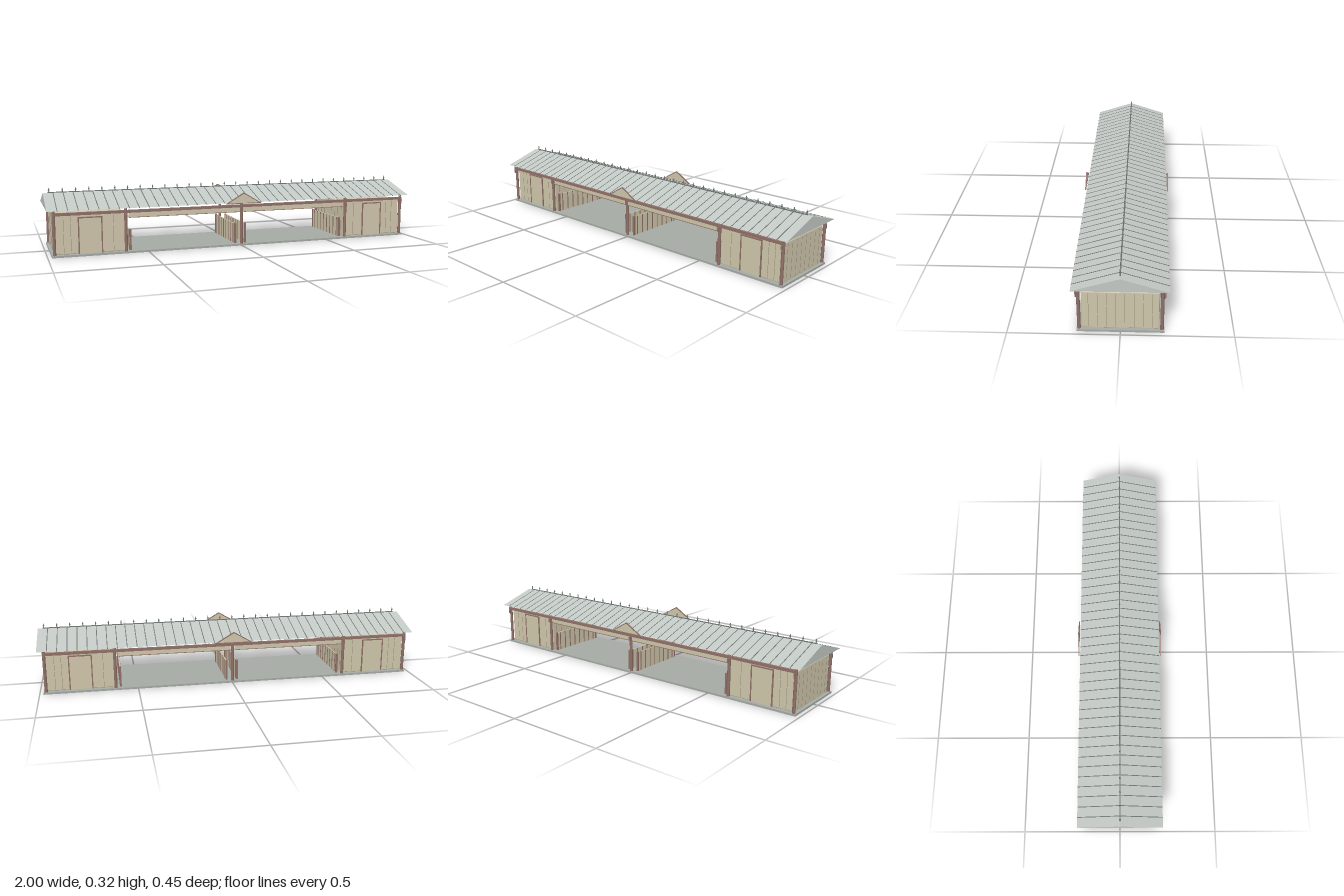
import * as THREE from 'three';
import { RoundedBoxGeometry } from 'three/addons/geometries/RoundedBoxGeometry.js';

const mat = (color, extra = {}) => new THREE.MeshStandardMaterial({ color, ...extra });
const M = {
  wall: mat(0xcfc6ab), seam: mat(0x9a917c), wood: mat(0x8f7068),
  roof: mat(0xc2c8c4, { flatShading: true }), metal: mat(0x6f7675), floor: mat(0xa5aaa4),
};

function add(parent, name, geometry, material, x = 0, y = 0, z = 0) {
  const mesh = new THREE.Mesh(geometry, material);
  mesh.name = name;
  mesh.position.set(x, y, z);
  parent.add(mesh);
  return mesh;
}
const box = (parent, name, material, w, h, d, x, y, z) =>
  add(parent, name, new THREE.BoxGeometry(w, h, d), material, x, y, z);

function triangle(halfWidth, y0, y1) {
  return new THREE.Shape([
    new THREE.Vector2(-halfWidth, y0), new THREE.Vector2(halfWidth, y0), new THREE.Vector2(0, y1),
  ]);
}
const extrude = (shape, depth) =>
  new THREE.ExtrudeGeometry(shape, { depth, bevelEnabled: false }).translate(0, 0, -depth / 2);

// Roof prism with standing seams, ridge cap and a row of finials
function buildRoof() {
  const roof = new THREE.Group();
  roof.name = 'roof';
  const half = 0.213, eave = 0.232, ridge = 0.299;
  add(roof, 'roofBody', extrude(triangle(half, eave, ridge), 2).rotateY(Math.PI / 2), M.roof);
  const slope = Math.atan2(ridge - eave, half), length = Math.hypot(ridge - eave, half);
  for (const s of [-1, 1]) {
    for (let i = -19; i <= 19; i++) {
      const rib = box(roof, 'roofSeam', M.metal, 0.004, 0.002, length, i * 0.05, (eave + ridge) / 2, s * half / 2);
      rib.rotation.x = s * slope;
    }
  }
  box(roof, 'ridgeCap', M.metal, 1.95, 0.004, 0.006, 0, 0.3, 0);
  const finial = new THREE.LatheGeometry([
    [0.0015, 0.3], [0.003, 0.304], [0.0015, 0.307], [0.0045, 0.311], [0, 0.325],
  ].map(([r, y]) => new THREE.Vector2(r, y)), 8);
  for (let i = 0; i < 30; i++) add(roof, 'finial', finial, M.metal, -0.97 + i * 1.94 / 29);
  return roof;
}

// Closed room at one end, with battens and a framed door front and back
function buildRoom(side) {
  const room = new THREE.Group();
  room.name = side > 0 ? 'leftRoom' : 'rightRoom';
  const cx = side * 0.79, w = 0.35;
  add(room, 'roomWalls', new RoundedBoxGeometry(w, 0.195, 0.34, 2, 0.004), M.wall, cx, 0.1075, 0);
  for (let i = 0; i < 8; i++) {
    for (const e of [-1, 1]) {
      box(room, 'endSeam', M.seam, 0.001, 0.18, 0.002, cx + e * w / 2, 0.107, -0.14 + i * 0.04);
    }
  }
  for (const s of [-1, 1]) {
    for (const dx of [-0.115, -0.03, 0.03, 0.095, 0.13]) {
      box(room, 'wallSeam', M.seam, 0.002, 0.18, 0.001, cx + side * dx, 0.107, s * 0.17);
    }
    box(room, 'door', M.wall, 0.11, 0.178, 0.006, cx, 0.1, s * 0.17);
    for (const e of [-1, 1]) box(room, 'doorJamb', M.wood, 0.006, 0.18, 0.01, cx + e * 0.057, 0.1, s * 0.17);
    box(room, 'doorLintel', M.wood, 0.12, 0.006, 0.01, cx, 0.19, s * 0.17);
  }
  return room;
}

// Low board partition across the open bays
function buildPartition(x) {
  const group = new THREE.Group();
  group.name = 'partition';
  box(group, 'partitionPanel', M.wall, 0.006, 0.105, 0.33, x, 0.0625, 0);
  for (let i = 0; i < 8; i++) box(group, 'partitionBatten', M.wood, 0.009, 0.105, 0.006, x, 0.0625, -0.14 + i * 0.04);
  for (const s of [-1, 1]) box(group, 'partitionPost', M.wood, 0.01, 0.107, 0.01, x, 0.0635, s * 0.163);
  return group;
}

// Posts, beams, hanging fascia and small pediment along one long side
function buildFacade(s) {
  const group = new THREE.Group();
  group.name = s > 0 ? 'frontFacade' : 'backFacade';
  const post = new THREE.CylinderGeometry(0.008, 0.008, 0.218, 12);
  for (const x of [-0.967, -0.615, 0, 0.615, 0.967]) {
    add(group, 'post', post, M.wood, x, 0.119, s * 0.183);
    box(group, 'postBracket', M.wood, 0.01, 0.022, 0.006, x, 0.193, s * 0.194);
  }
  box(group, 'eaveBeam', M.wood, 1.94, 0.014, 0.012, 0, 0.213, s * 0.192);
  for (const e of [-1, 1]) {
    box(group, 'fascia', M.wall, 0.59, 0.025, 0.005, e * 0.305, 0.194, s * 0.185);
    box(group, 'fasciaTrim', M.wood, 0.59, 0.003, 0.008, e * 0.305, 0.181, s * 0.185);
  }
  add(group, 'pedimentPanel', extrude(triangle(0.094, 0.23, 0.284), 0.003), M.wall, 0, 0, s * 0.219);
  const frame = triangle(0.1, 0.228, 0.287);
  frame.holes.push(triangle(0.086, 0.232, 0.281));
  add(group, 'pedimentFrame', extrude(frame, 0.006), M.wood, 0, 0, s * 0.22);
  return group;
}

export function createModel() {
  const model = new THREE.Group();
  model.name = 'longPavilion';
  box(model, 'floor', M.floor, 1.96, 0.01, 0.387, 0, 0.005, 0);
  model.add(buildRoof());
  for (const s of [-1, 1]) {
    model.add(buildRoom(s), buildFacade(s));
    model.add(buildPartition(s * 0.59), buildPartition(s * 0.028));
  }
  return model;
}
